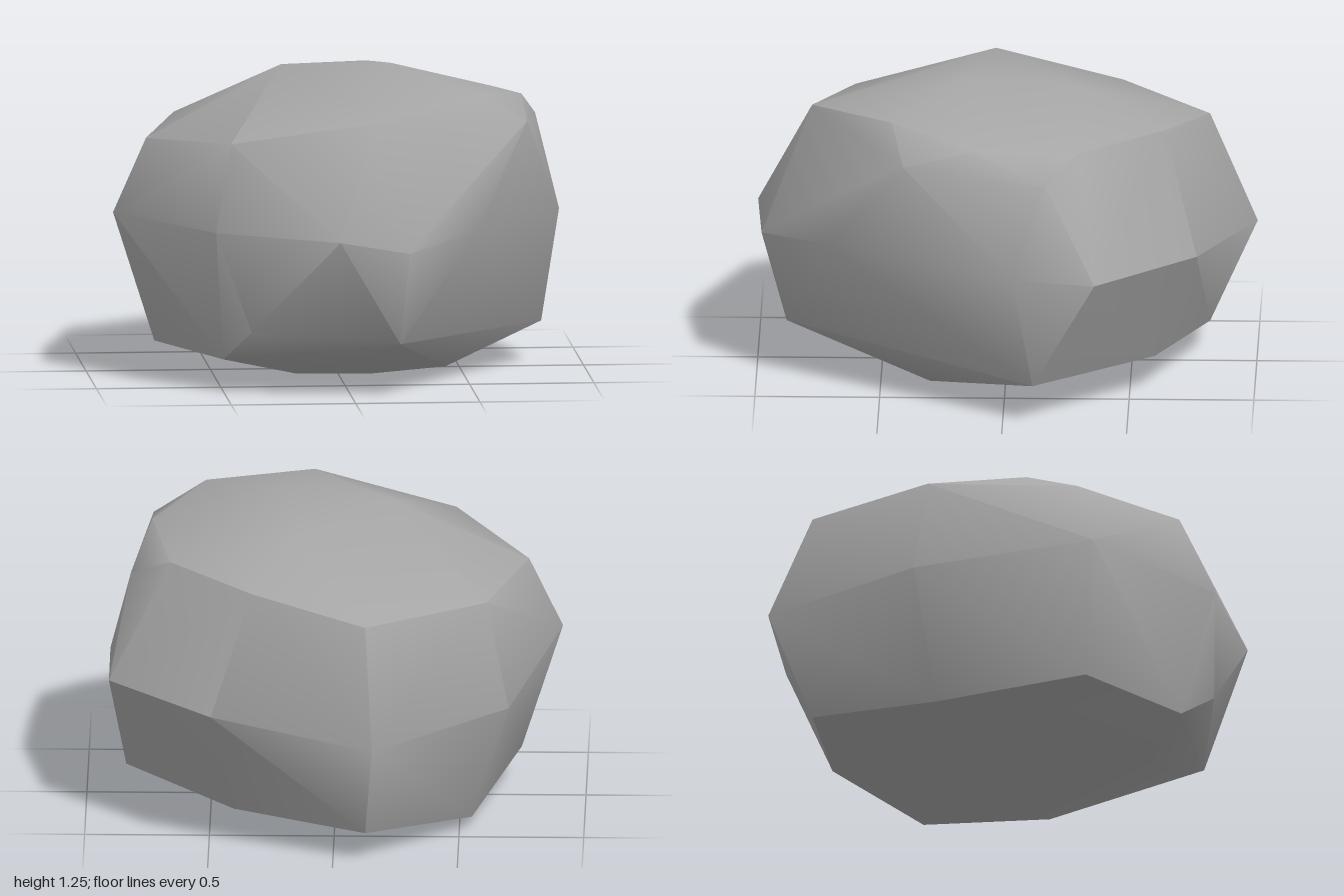
import * as THREE from 'three';
import { ConvexGeometry } from 'three/addons/geometries/ConvexGeometry.js';
import { toCreasedNormals } from 'three/addons/utils/BufferGeometryUtils.js';

// Corner points of the boulder, ring by ring
const crown = [[0.21, 1.255, 0.15], [-0.22, 1.24, 0.05], [0.15, 1.2, -0.3]];
const shoulder = [
  [-0.13, 1.0, -0.81], [0.33, 1.08, -0.64], [0.66, 1.09, -0.3], [0.82, 1.0, -0.17],
  [0.74, 1.12, 0.12], [0.74, 1.05, 0.4], [0.53, 1.17, 0.45], [0.1, 1.1, 0.78],
  [-0.47, 1.0, 0.62], [-0.77, 0.96, 0.13], [-0.61, 0.98, -0.45],
];
const waist = [
  [-0.16, 0.54, -1.0], [0.49, 0.6, -0.77], [0.905, 0.61, -0.37], [0.905, 0.63, -0.04],
  [0.51, 0.65, 0.72], [0.22, 0.6, 0.98], [-0.06, 0.65, 1.0], [-0.54, 0.66, 0.75],
  [-0.905, 0.665, 0.16], [-0.7, 0.56, -0.53],
];
const foot = [
  [-0.13, 0.125, -0.81], [0.4, 0.15, -0.6], [0.84, 0.165, -0.12], [0.42, 0.045, 0.3],
  [0.19, 0.22, 0.88], [-0.4, 0.26, 0.78], [-0.2, 0.06, 0.56], [-0.5, 0.13, 0.62],
  [-0.74, 0.145, 0.17], [-0.55, 0.05, -0.4], [0.13, 0, 0.17],
];

export function createModel() {
  const group = new THREE.Group();
  group.name = 'rock';

  const stone = new THREE.MeshStandardMaterial({ color: 0xa6a6a6 });
  stone.name = 'grey stone';

  // Faceted hull, softened across shallow edges and sharp on steep ones
  const points = [...crown, ...shoulder, ...waist, ...foot].map((p) => new THREE.Vector3(...p));
  const boulder = new THREE.Mesh(toCreasedNormals(new ConvexGeometry(points), 0.75), stone);
  boulder.name = 'boulder';
  group.add(boulder);

  return group;
}
